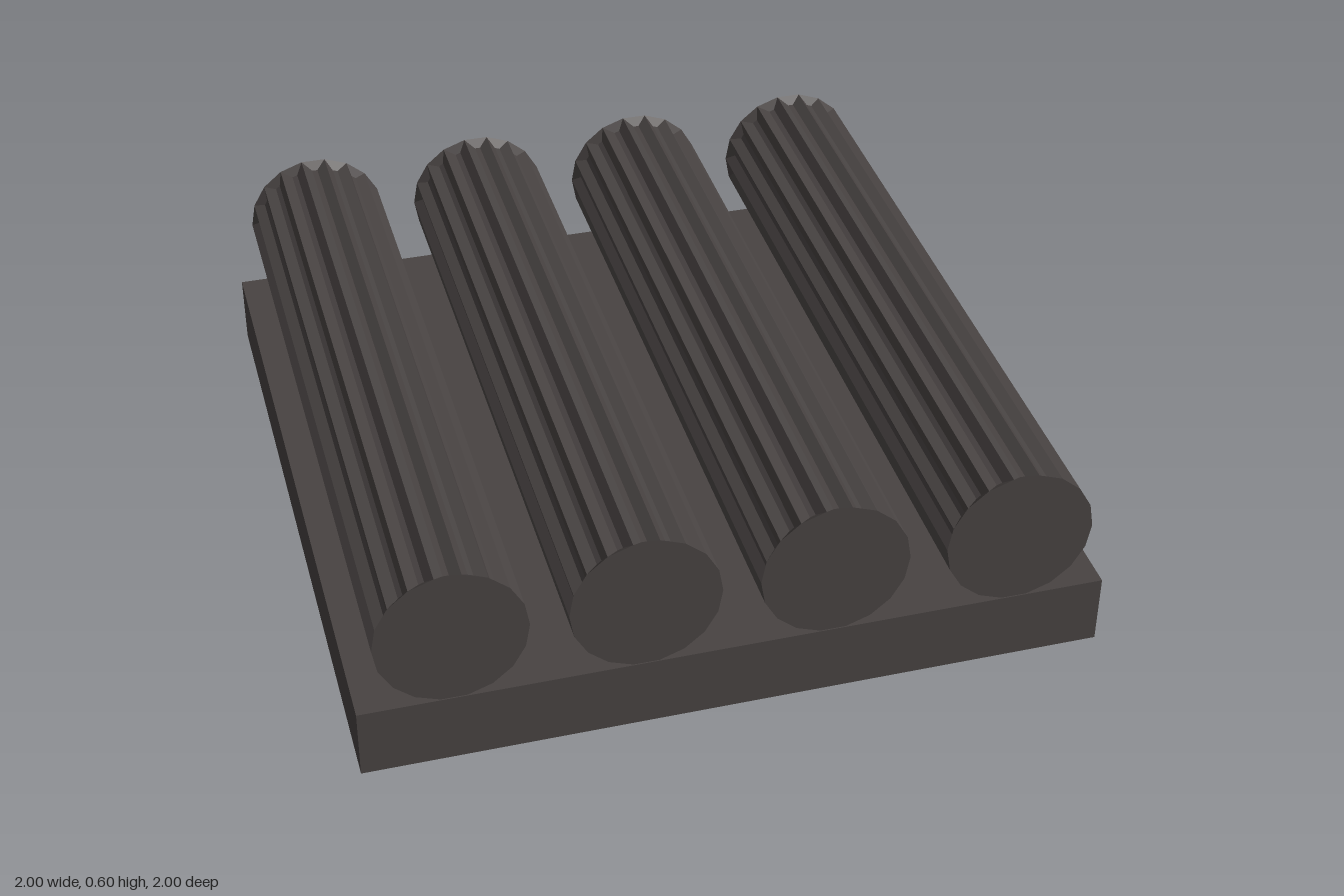
import * as THREE from 'three';

const SIDES = 18, RADIUS = 0.2, HALF_LENGTH = 1;
const INSET = 0.027, DEPTH = 0.018; // groove border and groove depth

// Roller along z: every side face is inset and pushed inwards to form a groove
function fluteGeometry() {
  const pos = [];
  const apothem = RADIUS * Math.cos(Math.PI / SIDES);
  const half = RADIUS * Math.sin(Math.PI / SIDES);
  const tri = (...pts) => pts.forEach((p) => pos.push(...p));
  const quad = (a, b, c, d) => tri(a, b, c, a, c, d);

  for (let i = 0; i < SIDES; i++) {
    const a = (i / SIDES) * Math.PI * 2, s = Math.sin(a), c = Math.cos(a);
    const point = (t, r, z) => [r * s + t * c, r * c - t * s, z];
    const ring = (t, r, z) => [point(-t, r, -z), point(-t, r, z), point(t, r, z), point(t, r, -z)];
    const outer = ring(half, apothem, HALF_LENGTH);
    const inner = ring(half - INSET, apothem - DEPTH, HALF_LENGTH - INSET);

    // sloping groove walls, then the groove floor
    for (let k = 0; k < 4; k++) {
      const n = (k + 1) % 4;
      quad(outer[k], outer[n], inner[n], inner[k]);
    }
    quad(...inner);

    // slices of the two flat end discs
    tri([0, 0, HALF_LENGTH], outer[2], outer[1]);
    tri([0, 0, -HALF_LENGTH], outer[0], outer[3]);
  }

  const geometry = new THREE.BufferGeometry();
  geometry.setAttribute('position', new THREE.Float32BufferAttribute(pos, 3));
  geometry.computeVertexNormals();
  return geometry;
}

export function createModel() {
  const group = new THREE.Group();
  group.name = 'rollerBed';
  const darkGrey = new THREE.MeshStandardMaterial({ color: 0x484342 });
  darkGrey.name = 'dark grey';

  // Base plate
  const plate = new THREE.Mesh(new THREE.BoxGeometry(2, 0.2, 2), darkGrey);
  plate.name = 'basePlate';
  plate.position.y = 0.1;
  group.add(plate);

  // Four fluted rollers lying side by side
  const geometry = fluteGeometry();
  for (let i = 0; i < 4; i++) {
    const roller = new THREE.Mesh(geometry, darkGrey);
    roller.name = `roller${i + 1}`;
    roller.position.set(-0.75 + i * 0.5, 0.4, 0);
    group.add(roller);
  }
  return group;
}
